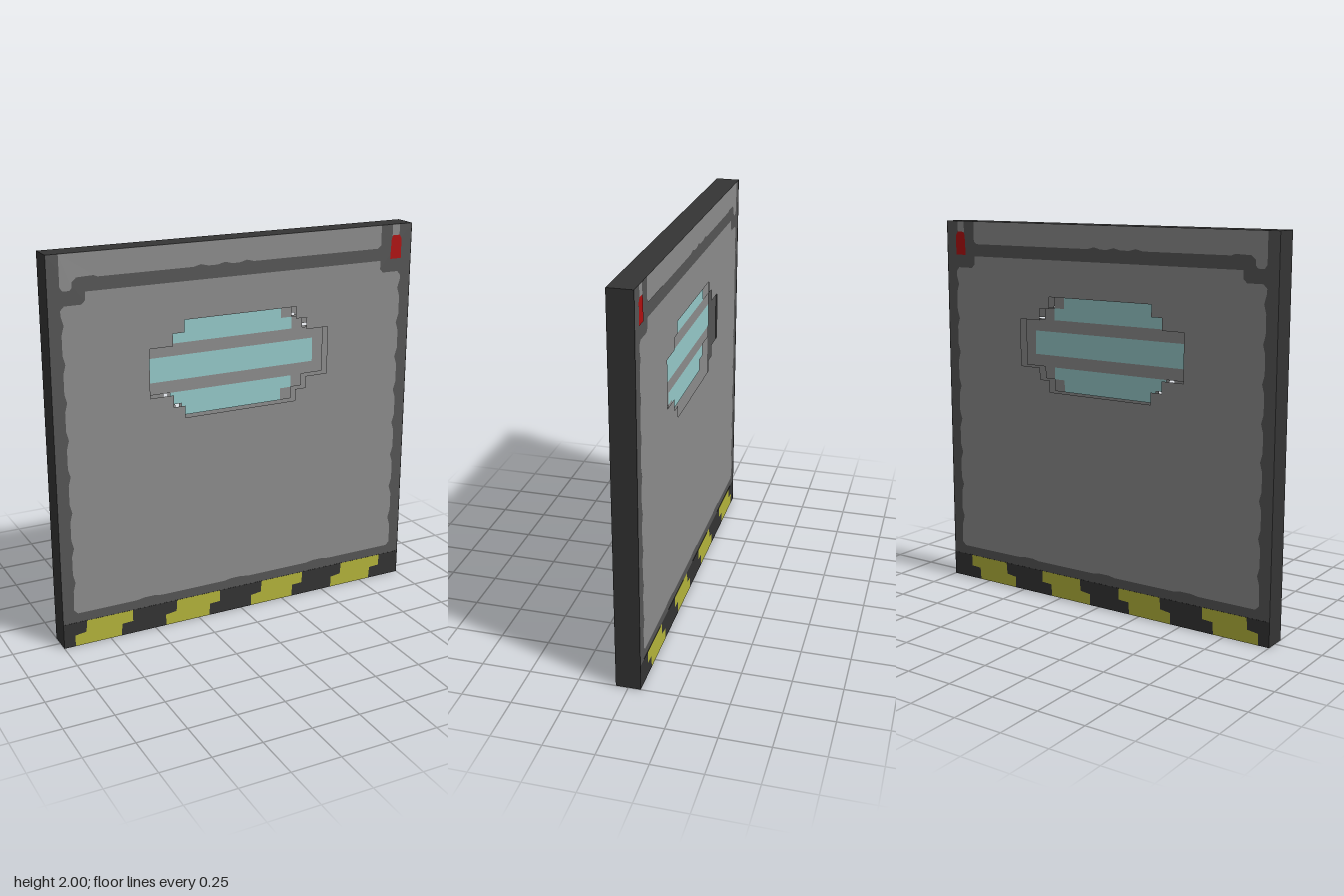
import * as THREE from 'three';

const mat = (name, color) => {
  const m = new THREE.MeshStandardMaterial({ color, side: THREE.DoubleSide });
  m.name = name;
  return m;
};

const shapeOf = (pts) => new THREE.Shape(pts.map(([x, y]) => new THREE.Vector2(x, y)));
const rect = (x0, y0, x1, y1) => [[x0, y0], [x1, y0], [x1, y1], [x0, y1]];

// Stepped outline of the window opening
function windowOutline() {
  const corner = [[0.5, 0.125], [0.375, 0.125], [0.375, 0.1875], [0.3125, 0.1875], [0.3125, 0.25]];
  const flip = (sx, sy) => corner.map(([x, y]) => [x * sx, 1.375 + y * sy]);
  return [...flip(1, 1), ...flip(-1, 1).reverse(), ...flip(-1, -1), ...flip(1, -1).reverse()];
}

// Main field outline with worn, gently scalloped edges
function fieldOutline() {
  const pts = [[-0.92, 0.18]];
  for (const x of [-0.53, -0.03, 0.47]) {
    pts.push([x - 0.07, 0.18], [x - 0.03, 0.187], [x + 0.03, 0.187], [x + 0.07, 0.18]);
  }
  pts.push([0.92, 0.18], [0.94, 0.2]);
  const notches = Array.from({ length: 8 }, (_, i) => 0.35 + i * 0.1875);
  for (const y of notches) pts.push([0.938, y - 0.045], [0.924, y], [0.938, y + 0.045]);
  pts.push([0.938, 1.73], [0.92, 1.752], [0.83, 1.752], [0.812, 1.77], [0.812, 1.815]);
  pts.push([-0.815, 1.815], [-0.815, 1.775], [-0.835, 1.755], [-0.92, 1.755], [-0.94, 1.735]);
  for (const y of notches.reverse()) pts.push([-0.938, y + 0.045], [-0.926, y], [-0.938, y - 0.045]);
  pts.push([-0.94, 0.2]);
  return pts;
}

// Upper field outline, dropping down at its left end
function upperOutline() {
  const pts = [[-0.938, 2], [-0.938, 1.845], [-0.925, 1.825], [-0.89, 1.825], [-0.878, 1.84],
    [-0.878, 1.865], [-0.855, 1.885], [-0.77, 1.888], [-0.75, 1.88]];
  for (const x of [-0.22, -0.09, 0.03]) pts.push([x - 0.04, 1.88], [x, 1.89], [x + 0.04, 1.88]);
  pts.push([0.795, 1.88], [0.813, 1.895], [0.813, 2]);
  return pts;
}

export function createModel() {
  const root = new THREE.Group();
  root.name = 'door';
  const grey = mat('panelGrey', 0x8c8c8c);
  const dark = mat('trimGrey', 0x555555);
  const black = mat('edgeBlack', 0x343434);
  const yellow = mat('hazardYellow', 0xb4b43b);
  const glass = mat('glassBlue', 0x95c9c9);
  const red = mat('handleRed', 0xb01010);

  const plate = (parent, name, pts, z, material, hole) => {
    const shape = shapeOf(pts);
    if (hole) shape.holes.push(shapeOf(hole));
    const mesh = new THREE.Mesh(new THREE.ShapeGeometry(shape), material);
    mesh.name = name;
    mesh.position.z = z;
    parent.add(mesh);
  };

  const opening = windowOutline();
  for (const side of [1, -1]) {
    const face = new THREE.Group();
    face.name = side > 0 ? 'frontFace' : 'backFace';
    root.add(face);
    const back = side * 0.061, mid = side * 0.0618, top = side * 0.0625;

    // Dark trim behind the grey fields
    plate(face, 'trim', rect(-1, 0.13, 1, 2), back, dark, rect(-0.8, 0.7, 0.8, 1.75));
    plate(face, 'mainField', fieldOutline(), top, grey, opening);
    plate(face, 'upperField', upperOutline(), top, grey);

    // Pull handle in the upper corner
    plate(face, 'handleSlot', rect(0.882, 1.94, 0.925, 2), mid, grey);
    plate(face, 'handle', [[0.872, 1.82], [0.938, 1.82], [0.938, 1.925], [0.925, 1.943],
      [0.885, 1.943], [0.877, 1.925]], top, red);

    // Hazard strip along the foot
    plate(face, 'hazardStrip', rect(-1, 0, 1, 0.13), mid, black);
    for (let i = 0; i < 4; i++) {
      const x = -0.94 + i * 0.5;
      plate(face, 'hazardStripe', [[x, 0], [x + 0.25, 0], [x + 0.255, 0.065], [x + 0.315, 0.068],
        [x + 0.315, 0.13], [x + 0.065, 0.13], [x + 0.06, 0.068], [x, 0.06]], top, yellow);
    }

    // Recessed window pane with three strips of glass
    plate(face, 'windowPane', opening, side * 0.0145, grey);
    plate(face, 'glassMiddle', rect(-0.5, 1.3125, 0.4375, 1.4375), side * 0.0156, glass);
    for (const s of [1, -1]) {
      const strip = [[-0.375, 0.125], [0.3125, 0.125], [0.3125, 0.1875], [0.25, 0.1875],
        [0.25, 0.25], [-0.3125, 0.25], [-0.3125, 0.1875], [-0.375, 0.1875]];
      plate(face, s > 0 ? 'glassUpper' : 'glassLower',
        strip.map(([x, y]) => [x, 1.375 + s * y]), side * 0.0156, glass);
    }
  }

  // Black rim around the four edges
  for (let i = 0; i < 4; i++) {
    const geo = new THREE.PlaneGeometry(2, 0.125).rotateX(-Math.PI / 2).translate(0, 1, 0);
    const rim = new THREE.Mesh(geo.rotateZ((i * Math.PI) / 2), black);
    rim.name = 'rim';
    rim.position.y = 1;
    root.add(rim);
  }
  return root;
}
